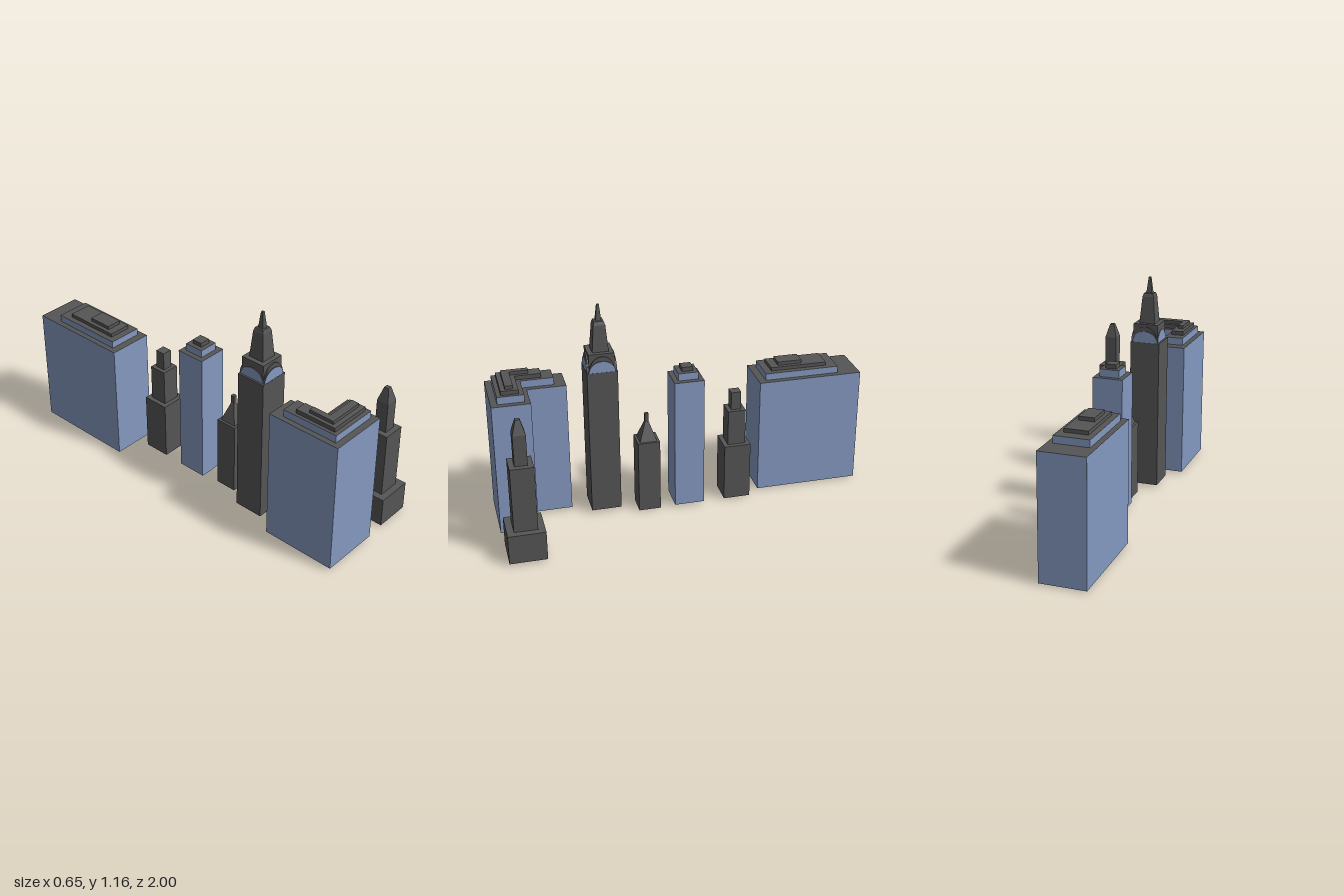
import * as THREE from 'three';

export function createModel() {
  const model = new THREE.Group();
  const stone = new THREE.MeshStandardMaterial({ color: 0x555555 });
  stone.name = 'dark stone';
  const glass = new THREE.MeshStandardMaterial({ color: 0x8499c0 });
  glass.name = 'blue glass';

  const building = (name, x, z) => {
    const g = new THREE.Group();
    g.name = name;
    g.position.set(x, 0, z);
    model.add(g);
    return g;
  };
  const add = (group, name, geo, mat) => {
    const m = new THREE.Mesh(geo, mat);
    m.name = name;
    group.add(m);
    return m;
  };
  // Glass walls carry a stone roof
  const glassBox = [glass, glass, stone, glass, glass, glass];

  // Block with optional narrower top; dimensions are half widths
  function block(group, name, hx, hz, y0, y1, mat = stone, top = 1, x = 0, z = 0) {
    const geo = new THREE.BoxGeometry(hx * 2, y1 - y0, hz * 2);
    const p = geo.attributes.position;
    for (let i = 0; i < p.count; i++) {
      if (p.getY(i) > 0) p.setXYZ(i, p.getX(i) * top, p.getY(i), p.getZ(i) * top);
    }
    geo.computeVertexNormals();
    const m = add(group, name, geo, mat);
    m.position.set(x, (y0 + y1) / 2, z);
  }

  // L-shaped tower with stepped roof: outer x0,x1,z0,z1 and inner corner xi,zi
  const corner = building('cornerBuilding', 0, 0);
  [
    ['cornerBody', -0.298, 0.024, 0.595, 1, -0.14, 0.8, 0.012, 0.738, glass],
    ['cornerSetback', -0.27, -0.004, 0.656, 0.966, -0.167, 0.828, 0.738, 0.778, glass],
    ['cornerRoofLower', -0.253, -0.022, 0.717, 0.944, -0.186, 0.853, 0.778, 0.8, stone],
    ['cornerRoofUpper', -0.235, -0.04, 0.78, 0.92, -0.204, 0.878, 0.8, 0.818, stone],
  ].forEach(([name, x0, x1, z0, z1, xi, zi, y0, y1, wall]) => {
    const shape = new THREE.Shape([
      [x0, -z1], [x1, -z1], [x1, -zi], [xi, -zi], [xi, -z0], [x0, -z0],
    ].map(([x, y]) => new THREE.Vector2(x, y)));
    const geo = new THREE.ExtrudeGeometry(shape, { depth: y1 - y0, bevelEnabled: false });
    geo.rotateX(-Math.PI / 2);
    add(corner, name, geo, [stone, wall]).position.y = y0;
  });

  // Long slab with stepped roof
  const slab = building('slabBuilding', -0.21, -0.717);
  block(slab, 'slabBody', 0.12, 0.283, 0.006, 0.65, glassBox);
  block(slab, 'slabSetback', 0.091, 0.203, 0.65, 0.687, glassBox, 1, 0, 0.04);
  block(slab, 'slabRoofLower', 0.061, 0.154, 0.687, 0.706, stone, 1, 0, 0.05);
  block(slab, 'slabRoofUpper', 0.04, 0.066, 0.706, 0.725, stone, 1, 0, 0.095);

  // Slim glass tower
  const slim = building('slimGlassTower', -0.102, -0.028);
  block(slim, 'slimBody', 0.08, 0.08, 0.012, 0.737, glassBox);
  block(slim, 'slimSetback', 0.053, 0.053, 0.737, 0.777, glassBox);
  block(slim, 'slimRoof', 0.029, 0.029, 0.777, 0.8);

  // Three-stage stone tower
  const stepped = building('steppedTower', -0.104, -0.297);
  block(stepped, 'steppedBase', 0.072, 0.072, 0.006, 0.323);
  block(stepped, 'steppedMiddle', 0.048, 0.048, 0.323, 0.52);
  block(stepped, 'steppedTop', 0.027, 0.027, 0.52, 0.62);

  // Small tower with pyramid roof
  const pyramid = building('pyramidTower', -0.092, 0.189);
  block(pyramid, 'pyramidBody', 0.059, 0.059, 0, 0.403);
  block(pyramid, 'pyramidRoof', 0.046, 0.046, 0.403, 0.505, stone, 0.22);
  block(pyramid, 'pyramidSpire', 0.01, 0.01, 0.5, 0.552);

  // Front tower with tapered cap
  const front = building('frontTower', 0.228, 0.895);
  block(front, 'frontBase', 0.097, 0.097, 0.01, 0.169);
  block(front, 'frontMiddle', 0.061, 0.061, 0.169, 0.524);
  block(front, 'frontUpper', 0.033, 0.033, 0.524, 0.69);
  block(front, 'frontCap', 0.033, 0.033, 0.69, 0.765, stone, 0.36);

  // Tallest tower with arched crown and spire
  const tall = building('archedTower', -0.152, 0.418);
  block(tall, 'archedBody', 0.08, 0.08, 0.015, 0.82);
  block(tall, 'crown', 0.067, 0.067, 0.82, 0.918);
  block(tall, 'crownShaft', 0.043, 0.043, 0.918, 1.06, stone, 0.72);
  block(tall, 'shaftShoulder', 0.031, 0.031, 1.06, 1.078, stone, 0.8);
  block(tall, 'spire', 0.015, 0.015, 1.078, 1.163, stone, 0.4);

  // Half-elliptical vaults through the crown, glass at both ends
  function vault(name, r, h, from, to, turn, mat) {
    const shape = new THREE.Shape();
    shape.absellipse(0, 0, r, h, 0, Math.PI, false, 0);
    shape.closePath();
    const geo = new THREE.ExtrudeGeometry(shape, {
      depth: to - from, bevelEnabled: false, curveSegments: 10,
    });
    geo.translate(0, 0, from);
    const m = add(tall, name, geo, mat);
    m.position.y = 0.82;
    m.rotation.y = turn;
  }
  vault('frontBackWindowArch', 0.069, 0.061, -0.079, 0.079, 0, [glass, stone]);
  vault('sideWindowArch', 0.069, 0.061, -0.07, 0.079, Math.PI / 2, [glass, stone]);
  vault('frontBackArchRim', 0.067, 0.085, -0.074, 0.074, 0, stone);
  vault('sideArchRim', 0.067, 0.085, -0.067, 0.074, Math.PI / 2, stone);

  return model;
}
